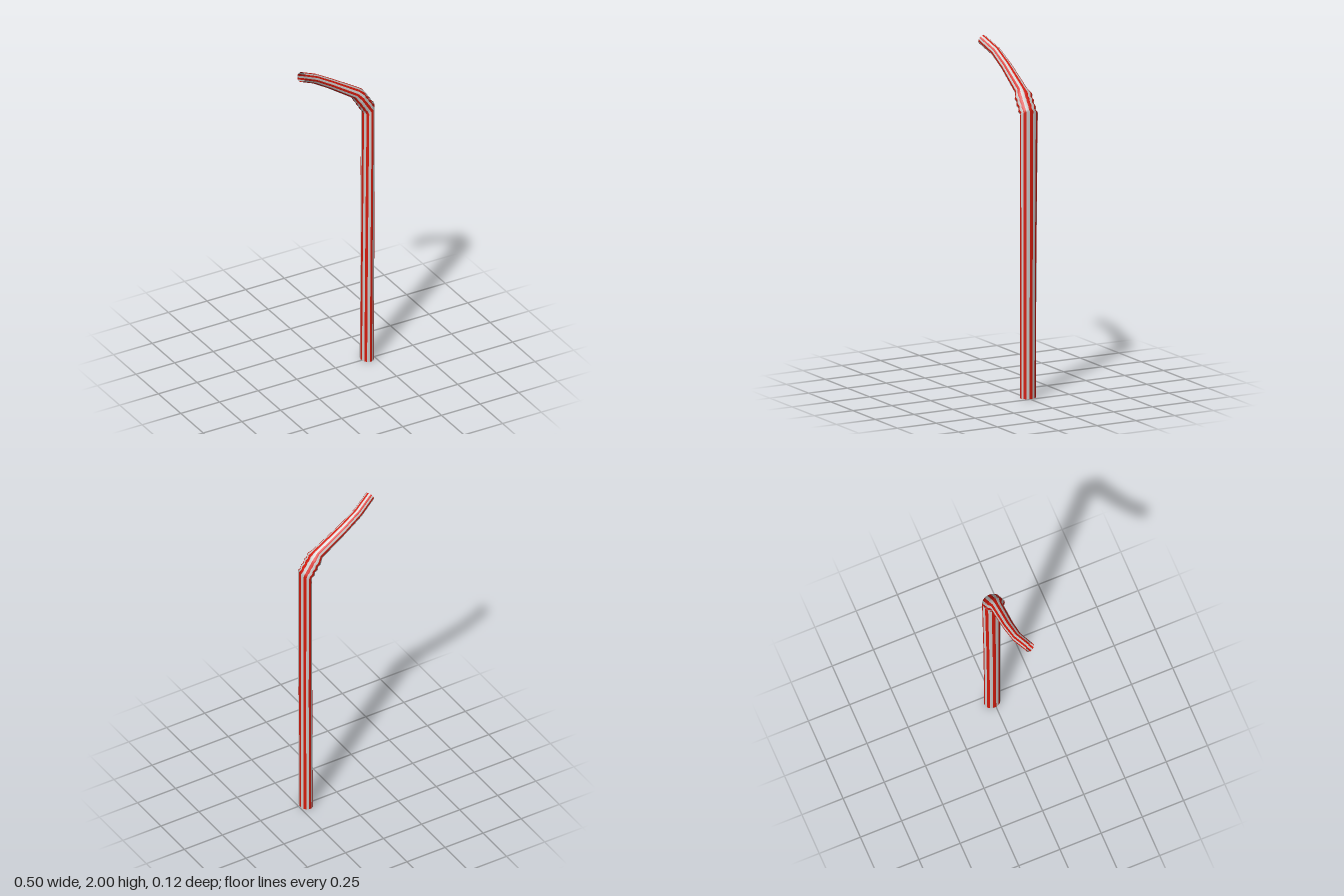
import * as THREE from 'three';

const SEGMENTS = 32; // two segments per stripe

// Cross-section: centre x, y, z, lean towards -x, yaw towards +z (degrees), radius in the bend plane, radius across it
function buildRings() {
  const rings = [
    [0.207, 0, -0.008, 0, 0, 0.037, 0.047],
    [0.211, 0.8, -0.008, 0, 0, 0.035, 0.049],
  ];
  // bellows: four ridges with valleys between
  for (let i = 0; i <= 6; i++) {
    const t = i / 6;
    const ridge = i % 2 === 0;
    rings.push([
      0.215 - 0.06 * t, 1.622 + 0.094 * t, -0.01, 45 + 3 * t, 0,
      ridge ? 0.044 - 0.002 * t : 0.037, ridge ? 0.055 : 0.047,
    ]);
  }
  // slim mouth tube, curving forward at the tip
  rings.push(
    [0.13, 1.744, -0.01, 54, 0, 0.034, 0.037],
    [-0.035, 1.852, -0.01, 58, 3, 0.029, 0.032],
    [-0.14, 1.918, -0.001, 60, 11, 0.028, 0.029],
    [-0.24, 1.974, 0.033, 64, 18, 0.028, 0.028],
  );
  return rings;
}

// Shared vertices and smooth normals for the whole straw
function buildSurface(rings) {
  const positions = [];
  for (const [x, y, z, lean, yaw, ru, rv] of rings) {
    const a = THREE.MathUtils.degToRad(lean);
    const b = THREE.MathUtils.degToRad(yaw);
    const u = new THREE.Vector3(Math.cos(a), Math.sin(a), 0);
    const v = new THREE.Vector3(Math.sin(a) * Math.sin(b), -Math.cos(a) * Math.sin(b), Math.cos(b));
    for (let j = 0; j < SEGMENTS; j++) {
      const angle = ((j - 1) / SEGMENTS) * Math.PI * 2;
      const p = new THREE.Vector3(x, y, z)
        .addScaledVector(u, ru * Math.cos(angle))
        .addScaledVector(v, rv * Math.sin(angle));
      positions.push(p.x, p.y, p.z);
    }
  }
  const geometry = new THREE.BufferGeometry();
  geometry.setAttribute('position', new THREE.Float32BufferAttribute(positions, 3));
  return geometry;
}

// Faces of the stripes accepted by the filter
function stripeIndex(ringCount, accept) {
  const index = [];
  for (let i = 0; i < ringCount - 1; i++) {
    for (let j = 0; j < SEGMENTS; j++) {
      if (!accept(Math.floor(j / 2))) continue;
      const k = (j + 1) % SEGMENTS;
      const a = i * SEGMENTS + j, b = i * SEGMENTS + k;
      const c = a + SEGMENTS, d = b + SEGMENTS;
      index.push(a, c, b, b, c, d);
    }
  }
  return index;
}

export function createModel() {
  const group = new THREE.Group();
  group.name = 'bendyStraw';
  const rings = buildRings();
  const surface = buildSurface(rings);
  surface.setIndex(stripeIndex(rings.length, () => true));
  surface.computeVertexNormals();

  // alternating lengthwise stripes, open at both ends
  const stripes = [['redStripes', 0xd41a0c, 0], ['greyStripes', 0xcccccc, 1]];
  for (const [name, color, parity] of stripes) {
    const geometry = surface.clone();
    geometry.setIndex(stripeIndex(rings.length, (s) => s % 2 === parity));
    const mesh = new THREE.Mesh(
      geometry,
      new THREE.MeshStandardMaterial({ color, side: THREE.DoubleSide }),
    );
    mesh.name = name;
    group.add(mesh);
  }
  return group;
}
